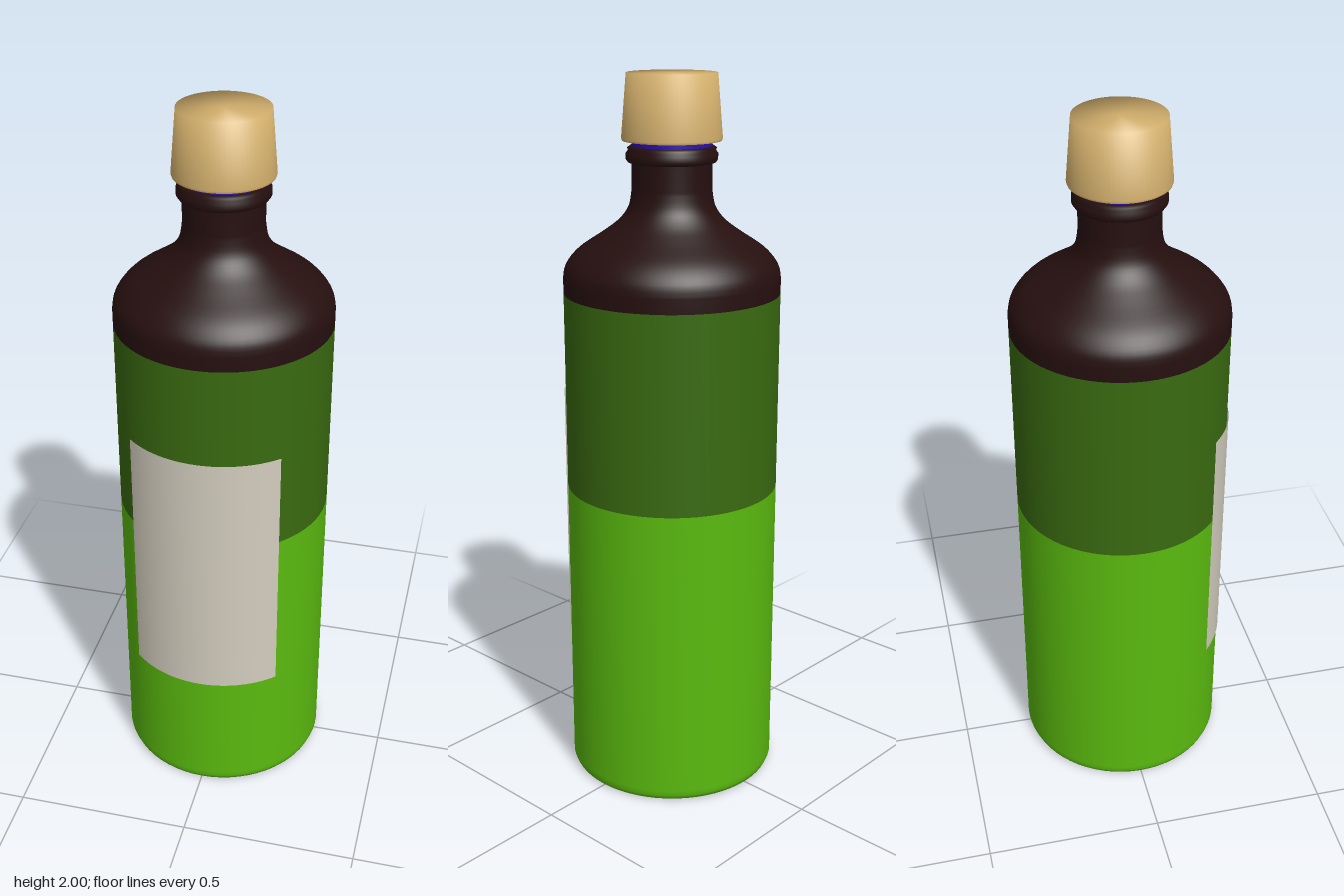
import * as THREE from 'three';

const material = (name, color) => {
  const m = new THREE.MeshStandardMaterial({ color });
  m.name = name;
  return m;
};

// Surface of revolution from [radius, height] pairs, listed bottom to top.
function turned(name, profile, mat) {
  const points = profile.map(([r, y]) => new THREE.Vector2(r, y));
  const mesh = new THREE.Mesh(new THREE.LatheGeometry(points, 64), mat);
  mesh.name = name;
  return mesh;
}

export function createModel() {
  const brightGreen = material('bright green glass', 0x5aba0f);
  const darkGreen = material('dark green glass', 0x396a10);
  const brown = material('dark brown glass', 0x260f0f);
  const corkTan = material('cork tan', 0xd0ad6b);
  const blue = material('blue seal', 0x2a10b0);
  const paper = material('label paper', 0xd3cdbe);
  paper.side = THREE.DoubleSide;

  const R = 0.297;
  const bottle = new THREE.Group();
  bottle.name = 'bottle';

  // Body with a softly rounded foot
  bottle.add(turned('lowerBody', [
    [0, 0], [0.283, 0], [0.292, 0.004], [R, 0.016], [R, 0.03], [R, 0.867],
  ], brightGreen));
  bottle.add(turned('upperBody', [[R, 0.867], [R, 1.42]], darkGreen));

  // Shoulder sweeping into the straight neck
  const sweep = new THREE.SplineCurve([
    [R, 1.46], [0.289, 1.495], [0.255, 1.536], [0.19, 1.58],
    [0.145, 1.614], [0.117, 1.652], [0.108, 1.7],
  ].map(([x, y]) => new THREE.Vector2(x, y)));
  bottle.add(turned('shoulderAndNeck', [
    [R, 1.42], ...sweep.getPoints(24).map((p) => [p.x, p.y]), [0.108, 1.77],
  ], brown));

  // Rounded lip
  bottle.add(turned('lip', [
    [0.108, 1.768], [0.118, 1.77], [0.123, 1.777], [0.123, 1.793], [0.117, 1.8],
    [0.119, 1.807], [0.112, 1.812], [0, 1.812],
  ], brown));

  // Seal between lip and stopper
  bottle.add(turned('seal', [[0.107, 1.808], [0.107, 1.828]], blue));

  // Tapered cork, softly shaded over its top edge
  bottle.add(turned('cork', [
    [0, 1.826], [0.133, 1.826], [0.133, 1.826], [0.135, 1.832], [0.121, 2], [0, 2],
  ], corkTan));

  // Curved front label
  const half = 0.76;
  const label = new THREE.Mesh(
    new THREE.CylinderGeometry(0.301, 0.301, 0.757, 24, 1, true, -half, half * 2), paper);
  label.name = 'label';
  label.position.y = 0.763;
  bottle.add(label);

  return bottle;
}
